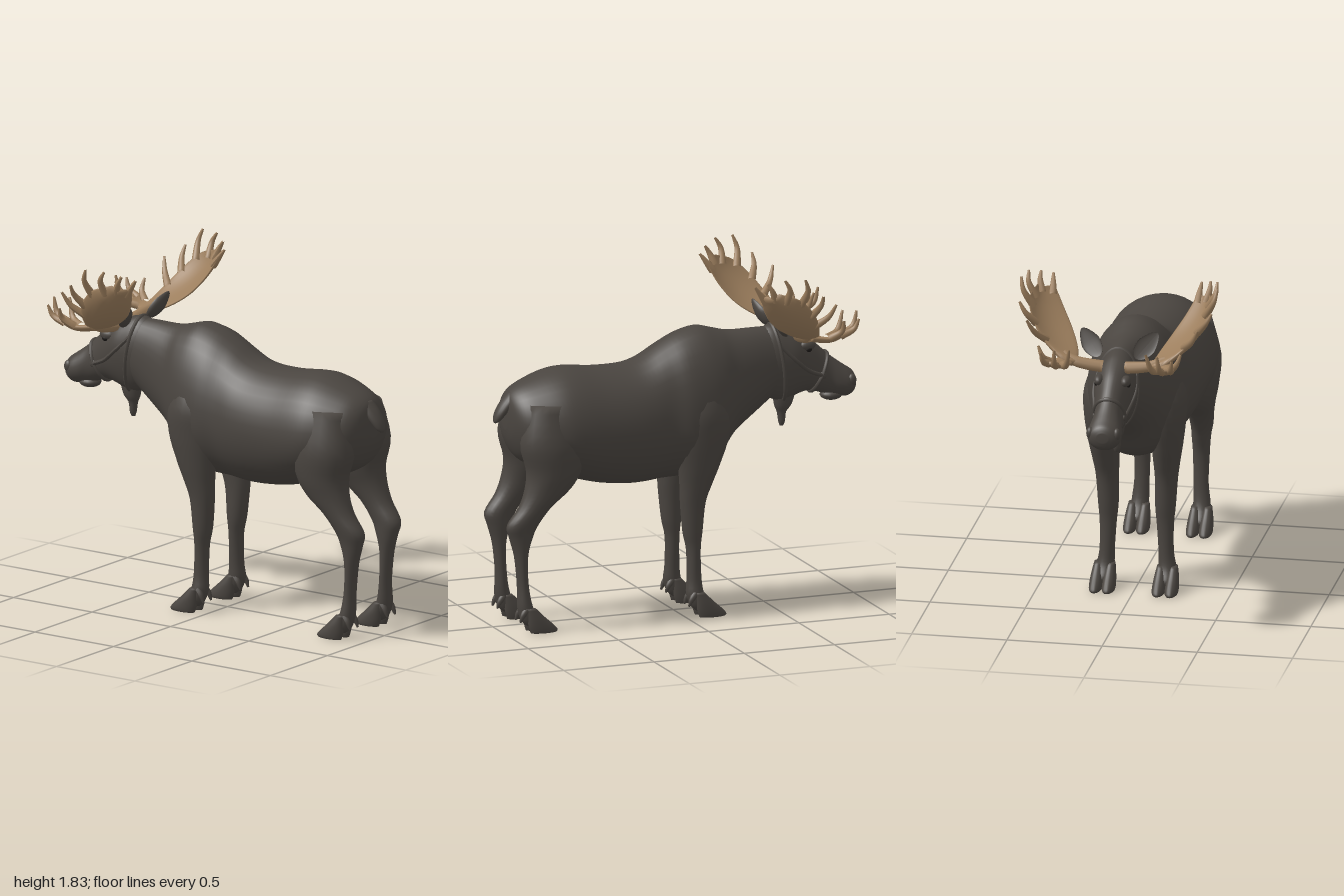
import * as THREE from 'three';

const V = (x, y, z) => new THREE.Vector3(x, y, z);
const hide = new THREE.MeshStandardMaterial({ color: 0x4a4540 });
hide.name = 'dark brown hide';
const horn = new THREE.MeshStandardMaterial({ color: 0x9c7e5d });
horn.name = 'tan antler';
const black = new THREE.MeshStandardMaterial({ color: 0x1d1a18 });
black.name = 'eye black';

function add(parent, name, geometry, material = hide) {
  const mesh = new THREE.Mesh(geometry, material);
  mesh.name = name;
  parent.add(mesh);
  return mesh;
}

// Smoothly resample a table of section rows
function smooth(rows, steps = 4) {
  const out = [], at = i => rows[Math.min(Math.max(i, 0), rows.length - 1)];
  for (let i = 0; i < rows.length - 1; i++) {
    for (let s = 0; s < steps; s++) {
      const t = s / steps;
      out.push(at(i).map((b, k) => {
        const a = at(i - 1)[k], c = at(i + 1)[k], d = at(i + 2)[k];
        return b + 0.5 * t * (c - a + t * (2 * a - 5 * b + 4 * c - d + t * (3 * (b - c) + d - a)));
      }));
    }
  }
  out.push(at(rows.length - 1));
  return out;
}

// Closed skin over rings of points, turned outward by its signed volume
function loft(rings) {
  const n = rings[0].length, m = rings.length, pts = rings.flat(), idx = [];
  for (const r of [rings[0], rings[m - 1]]) {
    pts.push(r.reduce((s, p) => s.add(p), V(0, 0, 0)).divideScalar(n));
  }
  for (let j = 0; j < n; j++) {
    const k = (j + 1) % n, e = (m - 1) * n;
    for (let i = 0; i < m - 1; i++) {
      const a = i * n + j, b = i * n + k;
      idx.push(a, b, a + n, b, b + n, a + n);
    }
    idx.push(m * n, k, j, m * n + 1, e + j, e + k);
  }
  let volume = 0;
  for (let i = 0; i < idx.length; i += 3) {
    volume += pts[idx[i]].dot(V(0, 0, 0).crossVectors(pts[idx[i + 1]], pts[idx[i + 2]]));
  }
  if (volume < 0) idx.reverse();
  const g = new THREE.BufferGeometry().setFromPoints(pts);
  g.setIndex(idx);
  g.computeVertexNormals();
  return g;
}
const ring = (n, f) => Array.from({ length: n }, (_, i) => f(i / n * Math.PI * 2));

// Upright sections along x: [x, bottom, top, widest height, half width]
const sectionPoint = ([x, yb, yt, ym, w], a) => {
  const s = Math.sin(a);
  return V(x, ym + s * (s > 0 ? yt - ym : ym - yb), w * Math.cos(a));
};
const trunk = rows => loft(smooth(rows).map(r => ring(36, a => sectionPoint(r, a))));

// Level sections along y: [y, front x, rear x, centre z, half width]
const limb = (rows, side, dx = 0) => loft(smooth(rows).map(([y, x0, x1, z, w]) =>
  ring(20, a => V(dx + (x0 + x1) / 2 + (x1 - x0) / 2 * Math.cos(a), y, side * (z + w * Math.sin(a))))));

// Round tube tapering from r0 to r1
function taper(points, r0, r1, closed = false) {
  const curve = new THREE.CatmullRomCurve3(points, closed), segs = closed ? 48 : 14, sides = 9;
  const g = new THREE.TubeGeometry(curve, segs, r0, sides, closed), p = g.attributes.position;
  for (let i = 0; i < p.count; i++) {
    const u = Math.floor(i / (sides + 1)) / segs, c = curve.getPointAt(u);
    const v = V(0, 0, 0).fromBufferAttribute(p, i).sub(c).multiplyScalar(1 + (r1 / r0 - 1) * u ** 1.4).add(c);
    p.setXYZ(i, v.x, v.y, v.z);
  }
  g.computeVertexNormals();
  return g;
}

// Curved blade between two edge curves
function blade(edgeA, edgeB, thick, bulge, side) {
  const A = new THREE.CatmullRomCurve3(edgeA), B = new THREE.CatmullRomCurve3(edgeB), rings = [];
  for (let i = 0; i <= 20; i++) {
    const t = i / 20, a = A.getPoint(t), b = B.getPoint(t);
    const normal = b.clone().sub(a).cross(A.getTangent(t)).normalize();
    const h = thick * (1 - 0.55 * t);
    rings.push(ring(20, q => {
      const k = (1 - Math.cos(q)) / 2, dip = 4 * k * (1 - k) * bulge * Math.sin(t * Math.PI * 0.8);
      const p = a.clone().lerp(b, k).addScaledVector(normal, h * Math.sin(q)).add(V(0, -dip, dip));
      p.z *= side;
      return p;
    }));
  }
  return loft(rings);
}

const BODY = [
  [-.58, 1.12, 1.46, 1.27, .10], [-.45, 1.02, 1.46, 1.22, .125], [-.31, .91, 1.46, 1.15, .17],
  [-.22, .79, 1.48, 1.10, .22], [-.13, .74, 1.50, 1.05, .25], [-.02, .72, 1.475, 1.03, .265],
  [.08, .715, 1.425, 1.02, .255], [.18, .705, 1.365, 1.02, .265], [.28, .705, 1.337, 1.02, .275],
  [.44, .725, 1.335, 1.02, .285], [.60, .77, 1.35, 1.03, .295], [.70, .81, 1.337, 1.04, .285],
  [.81, .85, 1.30, 1.05, .24], [.88, .90, 1.265, 1.07, .19], [.92, .98, 1.225, 1.10, .12], [.935, 1.05, 1.17, 1.11, .04]];
const HEAD = [
  [-1.0, 1.11, 1.16, 1.135, .03], [-.985, 1.075, 1.19, 1.13, .068], [-.95, 1.055, 1.215, 1.13, .088],
  [-.90, 1.06, 1.25, 1.14, .085], [-.85, 1.07, 1.29, 1.17, .075], [-.79, 1.09, 1.345, 1.20, .08],
  [-.73, 1.10, 1.395, 1.24, .092], [-.66, 1.08, 1.435, 1.28, .108], [-.60, 1.06, 1.46, 1.28, .11],
  [-.53, 1.08, 1.47, 1.28, .105], [-.47, 1.14, 1.44, 1.28, .08]];
const FORELEG = [
  [1.28, -.16, 0, .12, .07], [1.10, -.24, .05, .15, .115], [.95, -.24, .055, .165, .10], [.80, -.19, .035, .165, .082],
  [.70, -.15, .025, .16, .07], [.60, -.115, .02, .155, .06], [.45, -.10, .005, .15, .054], [.35, -.09, -.015, .15, .045],
  [.20, -.093, -.015, .155, .04], [.12, -.105, -.01, .162, .046], [.06, -.14, -.03, .165, .045], [.03, -.13, -.06, .165, .03]];
const HINDLEG = [
  [1.20, .62, .86, .14, .10], [1.0, .55, .905, .155, .135], [.85, .575, .873, .16, .12], [.75, .635, .885, .165, .092],
  [.66, .74, .92, .165, .07], [.57, .81, .982, .16, .058], [.50, .842, .968, .155, .05], [.40, .868, .94, .155, .044],
  [.25, .865, .925, .155, .04], [.13, .843, .925, .162, .046], [.06, .795, .905, .165, .045], [.03, .81, .87, .165, .03]];
const TOE = [[.13, .84, .89, 0, .02], [.08, .79, .885, 0, .03], [.04, .745, .88, 0, .034], [.012, .72, .872, 0, .034], [0, .725, .868, 0, .03]];

// Point just above the skin of the head
function onHead(x, a) {
  const i = Math.max(1, HEAD.findIndex(r => r[0] >= x)), p = HEAD[i - 1], q = HEAD[i];
  const t = (x - p[0]) / (q[0] - p[0]);
  return sectionPoint(p.map((v, k) => v + (q[k] - v) * t), a);
}

function antler(side) {
  const g = new THREE.Group();
  g.name = 'antler';
  const m = p => V(p[0], p[1], p[2] * side), v = p => V(...p);
  add(g, 'antlerBeam', taper([[-.665, 1.41, .06], [-.67, 1.42, .14], [-.67, 1.432, .20], [-.65, 1.46, .27]].map(m), .032, .025), horn);
  add(g, 'antlerPalm', blade(
    [[-.69, 1.425, .19], [-.56, 1.46, .21], [-.45, 1.53, .26], [-.38, 1.62, .32], [-.335, 1.72, .375]].map(v),
    [[-.71, 1.44, .26], [-.655, 1.55, .385], [-.59, 1.64, .45], [-.51, 1.71, .475], [-.41, 1.745, .455]].map(v), .02, .03, side), horn);
  add(g, 'browPalm', blade(
    [[-.65, 1.43, .19], [-.76, 1.43, .245], [-.845, 1.475, .27]].map(v),
    [[-.66, 1.45, .29], [-.76, 1.445, .32], [-.83, 1.475, .345]].map(v), .02, .006, side), horn);
  // Each tine: root, bend, tip
  const tines = [
    [[-.75, 1.435, .255], [-.82, 1.46, .225], [-.86, 1.56, .20]], [[-.81, 1.45, .28], [-.885, 1.49, .275], [-.91, 1.57, .27]],
    [[-.80, 1.455, .32], [-.87, 1.49, .335], [-.895, 1.545, .345]], [[-.75, 1.445, .31], [-.80, 1.49, .35], [-.80, 1.55, .375]],
    [[-.64, 1.53, .36], [-.70, 1.59, .415], [-.73, 1.66, .45]], [[-.60, 1.60, .42], [-.635, 1.67, .475], [-.635, 1.725, .505]],
    [[-.53, 1.67, .45], [-.55, 1.76, .50], [-.53, 1.825, .515]], [[-.45, 1.69, .45], [-.455, 1.77, .49], [-.425, 1.825, .495]],
    [[-.40, 1.70, .43], [-.375, 1.76, .445], [-.35, 1.80, .445]], [[-.37, 1.68, .38], [-.33, 1.735, .385], [-.30, 1.775, .39]]];
  for (const t of tines) add(g, 'antlerTine', taper(t.map(m), .021, .006), horn);
  return g;
}

function ear(side) {
  const geo = new THREE.SphereGeometry(1, 24, 16), p = geo.attributes.position;
  // Pointed leaf with a hollow front
  for (let i = 0; i < p.count; i++) {
    const x = p.getX(i), y = p.getY(i), z = p.getZ(i);
    const w = 1 - .35 * Math.max(0, y);
    p.setXYZ(i, (x < 0 ? x * -.25 : x) * .034 * w, y * .088, z * .052 * w);
  }
  geo.computeVertexNormals();
  const mesh = new THREE.Mesh(geo, hide);
  mesh.name = 'ear';
  mesh.position.set(-.55, 1.497, side * .147);
  mesh.quaternion.setFromUnitVectors(V(0, 1, 0), V(.07, .13, side * .11).normalize());
  return mesh;
}

function ball(parent, name, pos, size, mat = hide) {
  const mesh = add(parent, name, new THREE.SphereGeometry(1, 20, 14), mat);
  mesh.position.set(...pos);
  mesh.scale.set(...size);
  return mesh;
}

export function createModel() {
  const model = new THREE.Group();
  model.name = 'moose';
  add(model, 'body', trunk(BODY));
  add(model, 'head', trunk(HEAD));
  ball(model, 'lowerLip', [-.875, 1.068, 0], [.06, .03, .055]);
  // Hanging throat flap and short tail
  add(model, 'throatFlap', limb([[1.12, -.68, -.55, 0, .05], [1.04, -.655, -.56, 0, .04], [1.0, -.625, -.575, 0, .025],
    [.95, -.618, -.583, 0, .02], [.925, -.608, -.59, 0, .01]], 1));
  add(model, 'tail', limb([[1.24, .84, .91, 0, .05], [1.19, .87, .955, 0, .052], [1.14, .92, .985, 0, .045],
    [1.10, .955, .997, 0, .03], [1.083, .978, .993, 0, .01]], 1));

  // Halter
  const noseband = a => onHead(-.80 - .045 * Math.sin(a), a);
  add(model, 'noseband', taper(ring(24, noseband), .011, .011, true));
  add(model, 'throatStrap', taper(ring(24, a => onHead(-.57 + .03 * Math.sin(a), a)), .011, .011, true));

  for (const side of [1, -1]) {
    const turn = a => side > 0 ? a : Math.PI - a;
    add(model, 'cheekStrap', taper([[-.80, -.05], [-.72, -.15], [-.65, 0], [-.56, .5]].map(([x, a]) => onHead(x, turn(a))), .011, .011));
    ball(model, 'halterRing', onHead(-.80, turn(-.05)).toArray(), [.02, .02, .01]);
    ball(model, 'brow', [-.715, 1.355, side * .07], [.045, .028, .026]);
    ball(model, 'eye', [-.72, 1.337, side * .085], [.016, .014, .01], black);
    ball(model, 'nostrilRim', [-.963, 1.15, side * .07], [.024, .032, .02]);
    model.add(ear(side), antler(side));
    add(model, 'frontLeg', limb(FORELEG, side));
    add(model, 'hindLeg', limb(HINDLEG, side));
    for (const dx of [0, -.935]) {
      for (const dz of [-.034, .034]) {
        add(model, 'hoof', limb(TOE.map(([y, a, b, , w]) => [y, a, b, .165 + dz, w]), side, dx));
        add(model, 'dewclaw', taper([V(.885 + dx, .125, side * (.163 + dz * .8)), V(.91 + dx, .095, side * (.163 + dz)),
          V(.925 + dx, .06, side * (.163 + dz))], .02, .005));
      }
    }
  }
  return model;
}
